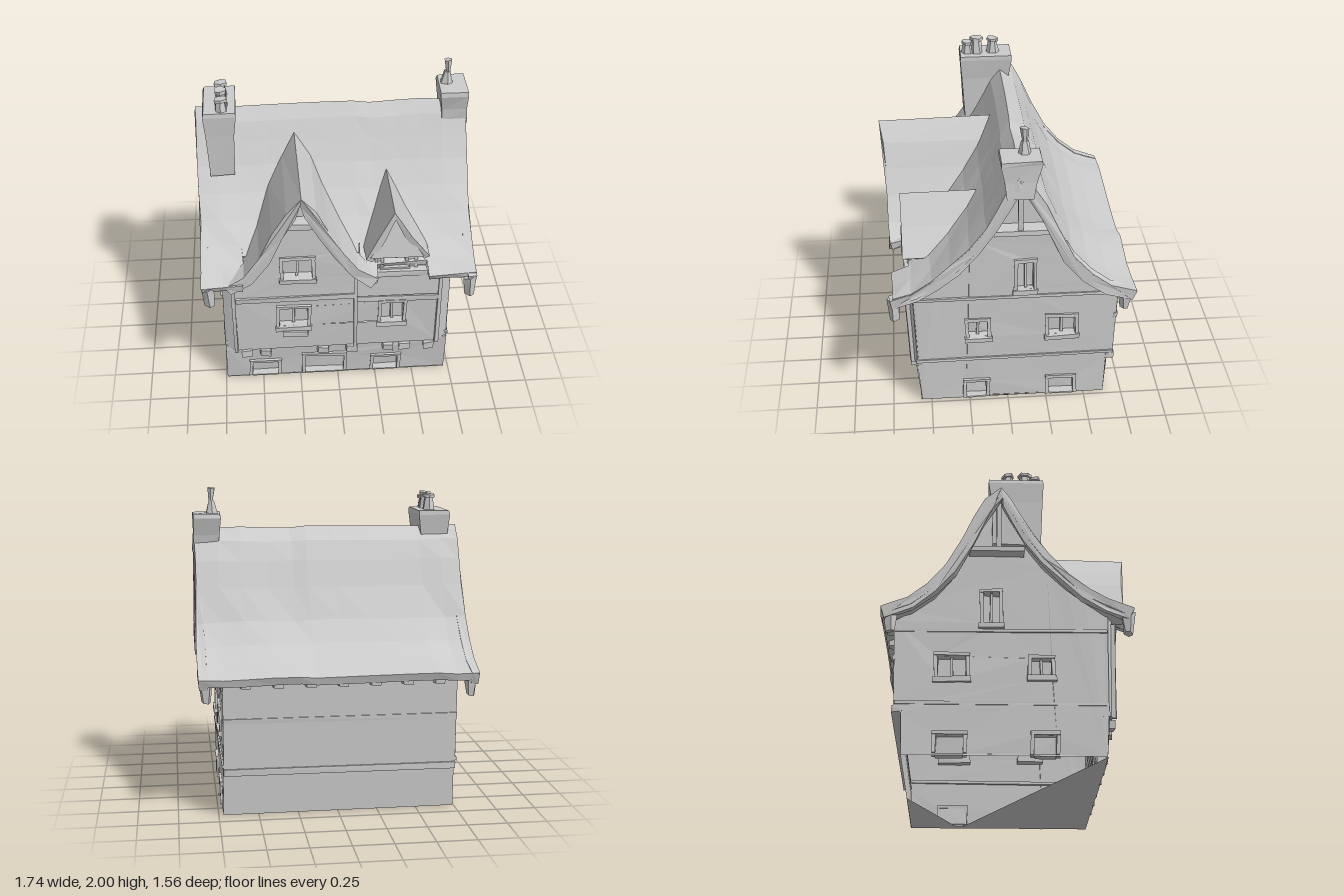
import * as THREE from 'three';

const mat = new THREE.MeshStandardMaterial({ color: 0xcccccc, flatShading: true, side: THREE.DoubleSide });

// Main roof outline in (z, y), back eave to front eave.
const ROOF = [[-0.78, 0.9], [-0.62, 0.955], [-0.5, 1.05], [-0.39, 1.18], [-0.29, 1.38], [-0.22, 1.54], [-0.15, 1.66],
  [-0.05, 1.74], [0.01, 1.66], [0.07, 1.54], [0.14, 1.41], [0.24, 1.27], [0.36, 1.14], [0.48, 1.035], [0.6, 0.96], [0.74, 0.91]];

function lerpTable(table, t) {
  for (let i = 1; i < table.length; i++) {
    const [a, va] = table[i - 1], [b, vb] = table[i];
    if (t <= b) return va + (vb - va) * Math.max(0, (t - a) / (b - a));
  }
  return table[table.length - 1][1];
}
const roofY = z => lerpTable(ROOF, z);
const FRONT_SLOPE = ROOF.slice(7).map(([z, y]) => [y, z]).reverse();
const roofZ = y => lerpTable(FRONT_SLOPE, y);
const polygon = pts => new THREE.Shape(pts.map(p => new THREE.Vector2(...p)));

export function createModel() {
  const house = new THREE.Group();
  house.name = 'cottage';

  // Moves every vertex by a rule, then adds a slight hand-hewn unevenness.
  function add(name, geo, place = (x, y, z) => [x, y, z], wobble = 0.006) {
    const p = geo.attributes.position;
    for (let i = 0; i < p.count; i++) {
      const [x, y, z] = place(p.getX(i), p.getY(i), p.getZ(i));
      const s = k => wobble * Math.sin(k + x * 31 + y * 23 + z * 37);
      p.setXYZ(i, x + s(1), Math.max(0, y + (y > 0.01 ? s(3) : 0)), z + s(5));
    }
    geo.computeVertexNormals();
    const mesh = new THREE.Mesh(geo, mat);
    mesh.name = name;
    house.add(mesh);
  }

  // Box given by its ranges, put on a wall through that wall's mapping.
  function bar(name, u0, u1, v0, v1, d0, d1, place) {
    const g = new THREE.BoxGeometry(u1 - u0, v1 - v0, d1 - d0);
    g.translate((u0 + u1) / 2, (v0 + v1) / 2, (d0 + d1) / 2);
    add(name, g, place, 0.004);
  }

  // Wall sheet with recessed, framed openings [u0, u1, v0, v1].
  function wall(name, outline, openings, place) {
    const shape = polygon(outline);
    for (const [a, b, c, d] of openings) {
      shape.holes.push(new THREE.Path([[a, c], [a, d], [b, d], [b, c]].map(p => new THREE.Vector2(...p))));
      const t = 0.022, m = (a + b) / 2;
      bar('windowPane', a, b, c, d, -0.05, -0.045, place);
      bar('windowJamb', a - t, a, c, d, -0.05, 0.012, place);
      bar('windowJamb', b, b + t, c, d, -0.05, 0.012, place);
      bar('windowLintel', a - t, b + t, d, d + t, -0.05, 0.016, place);
      if (c > 0.05) {
        bar('windowSill', a - t * 1.3, b + t * 1.3, c - t * 1.5, c, -0.05, 0.022, place);
        bar('windowMullion', m - 0.008, m + 0.008, c, d, -0.045, -0.02, place);
      } else bar('doorstep', a, b, 0, c, -0.05, 0.005, place);
    }
    add(name, new THREE.ShapeGeometry(shape), place, 0.003);
  }

  // Closed strip of even thickness under a line of points.
  function bandShape(pts, t) {
    const inner = pts.map(([x, y], i) => {
      const a = pts[Math.max(0, i - 1)], b = pts[Math.min(pts.length - 1, i + 1)];
      const dx = b[0] - a[0], dy = b[1] - a[1], l = Math.hypot(dx, dy);
      return [x + dy / l * t, y - dx / l * t];
    });
    return polygon([...pts, ...inner.reverse()]);
  }
  const extrude = (shape, depth, steps) => new THREE.ExtrudeGeometry(shape, { depth, steps, bevelEnabled: false });

  // Front walls: each storey steps out over the one below, with chamfered corners.
  const corner = u => Math.max(0, Math.abs(u + 0.01) - 0.66) * 0.45;
  const frontPlinth = (u, v, d) => [u, v, 0.565 + v * 0.1 + d];
  const frontMiddle = (u, v, d) => [u, v, 0.6 + v * 0.03 + d - corner(u)];
  const frontUpper = (u, v, d) => [u, v, 0.635 + d - corner(u)];
  wall('frontPlinth', [[-0.74, 0], [0.72, 0], [0.72, 0.28], [-0.74, 0.28]],
    [[-0.57, -0.4, 0.01, 0.13], [-0.22, 0.04, 0.01, 0.17], [0.24, 0.4, 0.01, 0.13]], frontPlinth);
  wall('frontWall', [[-0.67, 0.27], [0.65, 0.27], [0.65, 0.71], [-0.67, 0.71]],
    [[-0.38, -0.2, 0.47, 0.62], [0.28, 0.42, 0.47, 0.64]], frontMiddle);
  for (const [a, b] of [[-0.74, -0.67], [0.65, 0.72]])
    wall('frontCornerWall', [[a, 0.27], [b, 0.27], [b, 0.9], [a, 0.9]], [], frontMiddle);
  wall('frontGableWall', [[-0.67, 0.7], [0.65, 0.7], [0.65, 0.89], [0.13, 0.9], [0.03, 1.06], [-0.1, 1.32], [-0.24, 1.52],
    [-0.39, 1.3], [-0.5, 1.07], [-0.62, 0.92], [-0.67, 0.89]], [[-0.35, -0.17, 0.88, 1.02]], frontUpper);
  bar('frontLowerBeam', -0.74, 0.72, 0.25, 0.29, -0.04, 0.015, frontMiddle);
  bar('frontUpperBeam', -0.66, 0.1, 0.69, 0.73, -0.04, 0.025, frontMiddle);
  bar('frontBayBeam', 0.12, 0.65, 0.65, 0.69, -0.04, 0.015, frontMiddle);
  bar('frontEaveBeam', 0.12, 0.66, 0.86, 0.9, -0.04, 0.01, frontUpper);
  for (const x of [-0.67, 0.11, 0.65])
    bar('frontPost', x - 0.012, x + 0.012, 0.27, 0.88, -0.02, 0.025, frontMiddle);
  for (const x of [-0.6, -0.48, -0.1, 0.09, 0.33, 0.44, 0.6])
    bar('jettyBlock', x - 0.035, x + 0.035, 0.22, 0.27, -0.02, 0.02, frontMiddle);
  bar('windowLedge', -0.36, -0.2, 0.4, 0.44, -0.02, 0.035, frontMiddle);

  // Back walls, with rafter feet under the eave.
  const backPlinth = (u, v, d) => [u, v, -0.63 - v * 0.05 - d];
  const backUpper = (u, v, d) => [u, v, -0.675 - v * 0.03 - d];
  wall('backPlinth', [[-0.74, 0], [0.72, 0], [0.72, 0.3], [-0.74, 0.3]], [], backPlinth);
  wall('backWall', [[-0.74, 0.28], [0.72, 0.28], [0.72, 0.9], [-0.74, 0.9]], [], backUpper);
  bar('backLowerBeam', -0.74, 0.72, 0.27, 0.31, -0.05, 0.012, backUpper);
  bar('backUpperBeam', -0.74, 0.72, 0.6, 0.63, -0.02, 0.008, backUpper);
  for (let x = -0.62; x < 0.7; x += 0.2)
    bar('rafterFoot', x - 0.03, x + 0.03, 0.83, 0.88, -0.02, 0.05, backUpper);

  // Gable ends, mirrored, with windows, collar beam and king post.
  const under = ROOF.slice(1, -1).map(([z, y]) => [z * 0.96, y - 0.03]).reverse();
  for (const [side, x] of [[1, 0.72], [-1, -0.74]]) {
    const place = (u, v, d) => [x + side * d, v, u];
    wall(side > 0 ? 'leftGableEnd' : 'rightGableEnd',
      [[-0.63, 0], [0.565, 0], [0.585, 0.27], [0.59, 0.68], [0.6, 0.9], ...under,
        [-0.7, 0.86], [-0.685, 0.3], [-0.64, 0.26]],
      [[0.13, 0.25, 0.5, 0.62], [-0.43, -0.26, 0.49, 0.63], [-0.16, -0.06, 0.85, 1.06],
        [0.14, 0.27, 0.01, 0.13], [-0.43, -0.27, 0.01, 0.13]], place);
    bar('sideBeam', -0.68, 0.59, 0.315, 0.335, -0.02, 0.008, place);
    bar('sideUpperBeam', -0.69, 0.59, 0.79, 0.81, -0.02, 0.008, place);
    bar('collarBeam', -0.25, 0.09, 1.31, 1.34, -0.02, 0.09, place);
    bar('kingPost', -0.085, -0.055, 1.33, 1.65, 0.03, 0.08, place);
    // Carved drops under the eave corners.
    for (const z of [0.71, -0.72])
      add('eaveDrop', new THREE.CylinderGeometry(0.045, 0.03, 0.14, 5), (a, b, c) => [a + side * 0.82, b + 0.82, c + z]);
  }

  // Main roof in sections; the front edge stops short where a dormer stands.
  for (const [x0, x1, limit] of [[-0.86, -0.6, 0.74], [-0.6, 0.14, 0.55], [0.14, 0.24, 0.73], [0.24, 0.56, 0.62], [0.56, 0.86, 0.72]]) {
    const pts = [...ROOF.filter(p => p[0] < limit), [limit, roofY(limit)]];
    add('mainRoof', extrude(bandShape(pts, 0.05), x1 - x0, Math.ceil((x1 - x0) / 0.2)), (a, b, c) => [x0 + c, b, a]);
  }
  // Thick verge boards at both roof ends.
  for (const x of [-0.86, 0.81])
    add('vergeBoard', extrude(bandShape(ROOF, 0.07), 0.05, 1), (a, b, c) => [x + c, b - 0.006, a]);

  // Dormer roofs run back until they meet the main slope; lean pulls the peak forward.
  function dormerRoof(name, pts, t, zFront, lean) {
    const base = pts[0][1], rise = Math.max(...pts.map(p => p[1])) - base;
    add(name, extrude(bandShape(pts, t), 1, 1), (x, y, c) => {
      const front = zFront + lean * ((y - base) / rise) ** 4;
      return [x, y, c > 0.5 ? front : Math.min(roofZ(y) - 0.02, front - 0.03)];
    });
  }
  dormerRoof('frontGableRoof', [[-0.72, 0.9], [-0.6, 0.965], [-0.5, 1.11], [-0.42, 1.3], [-0.33, 1.46], [-0.24, 1.58],
    [-0.15, 1.46], [-0.07, 1.3], [0.02, 1.14], [0.12, 1.0], [0.24, 0.91]], 0.07, 0.735, 0.04);
  dormerRoof('smallDormerRoof', [[0.17, 1.01], [0.25, 1.18], [0.345, 1.36], [0.45, 1.18], [0.57, 1.02]], 0.05, 0.645, 0);
  bar('gableCollar', -0.31, -0.15, 1.31, 1.35, -0.02, 0.08, frontUpper);

  // Small dormer front, sloping hood and cheeks.
  const dormerFront = (u, v, d) => [u, v, 0.6 + d];
  wall('smallDormerWall', [[0.23, 0.88], [0.5, 0.88], [0.5, 1.04], [0.23, 1.04]], [[0.29, 0.42, 0.92, 0.99]], dormerFront);
  add('dormerHood', extrude(polygon([[0.2, 1.02], [0.53, 1.02], [0.345, 1.3]]), 1, 1),
    (x, y, z) => [x, y, z > 0.5 ? 0.655 - (y - 1.02) * 0.15 : 0.58], 0.004);
  for (const x of [0.23, 0.48]) bar('dormerCheek', x, x + 0.02, 0.88, 1.04, -0.15, 0.01, dormerFront);

  // Chimneys: tapering stack flaring to a cap. Ranges are [x0, x1, z0, z1].
  function chimney(name, low, high, y0, yNeck, y1) {
    const mix = t => low.map((v, i) => v + (high[i] - v) * t);
    const box = (a, b, ya, yb) => add(name, new THREE.BoxGeometry(1, 1, 1), (x, y, z) => {
      const r = y > 0 ? b : a;
      return [x > 0 ? r[1] : r[0], y > 0 ? yb : ya, z > 0 ? r[3] : r[2]];
    }, 0.005);
    box(low, mix(0.4), y0, yNeck);
    box(mix(0.4), high, yNeck, y1 - 0.03);
    box(high, mix(0.85), y1 - 0.03, y1);
  }
  chimney('rightChimney', [-0.78, -0.63, -0.11, 0.19], [-0.81, -0.605, -0.13, 0.22], 1.38, 1.68, 1.84);
  chimney('leftChimney', [0.71, 0.868, -0.14, 0.02], [0.685, 0.86, -0.185, 0.055], 1.6, 1.7, 1.84);
  const pot = (x, z, r0, r1, y0, y1) =>
    add('chimneyPot', new THREE.CylinderGeometry(r1, r0, y1 - y0, 6), (a, b, c) => [a + x, b + (y0 + y1) / 2, c + z], 0.004);
  for (const [z, top] of [[-0.01, 1.94], [0.1, 1.95], [0.16, 1.92]]) {
    pot(-0.69, z, 0.045, 0.03, 1.82, top - 0.02);
    pot(-0.69, z, 0.042, 0.042, top - 0.02, top);
  }
  pot(0.74, -0.09, 0.045, 0.02, 1.82, 1.92);
  pot(0.745, -0.09, 0.012, 0.028, 1.9, 2.0);

  // Underside, only partly floored.
  for (const tri of [[[0.72, 0.57], [0.72, -0.3], [-0.74, 0.57]], [[0.72, -0.63], [0.72, -0.3], [0.06, -0.63]]])
    add('floorPiece', new THREE.ShapeGeometry(polygon(tri)), (a, b) => [a, 0, b], 0);

  return house;
}
